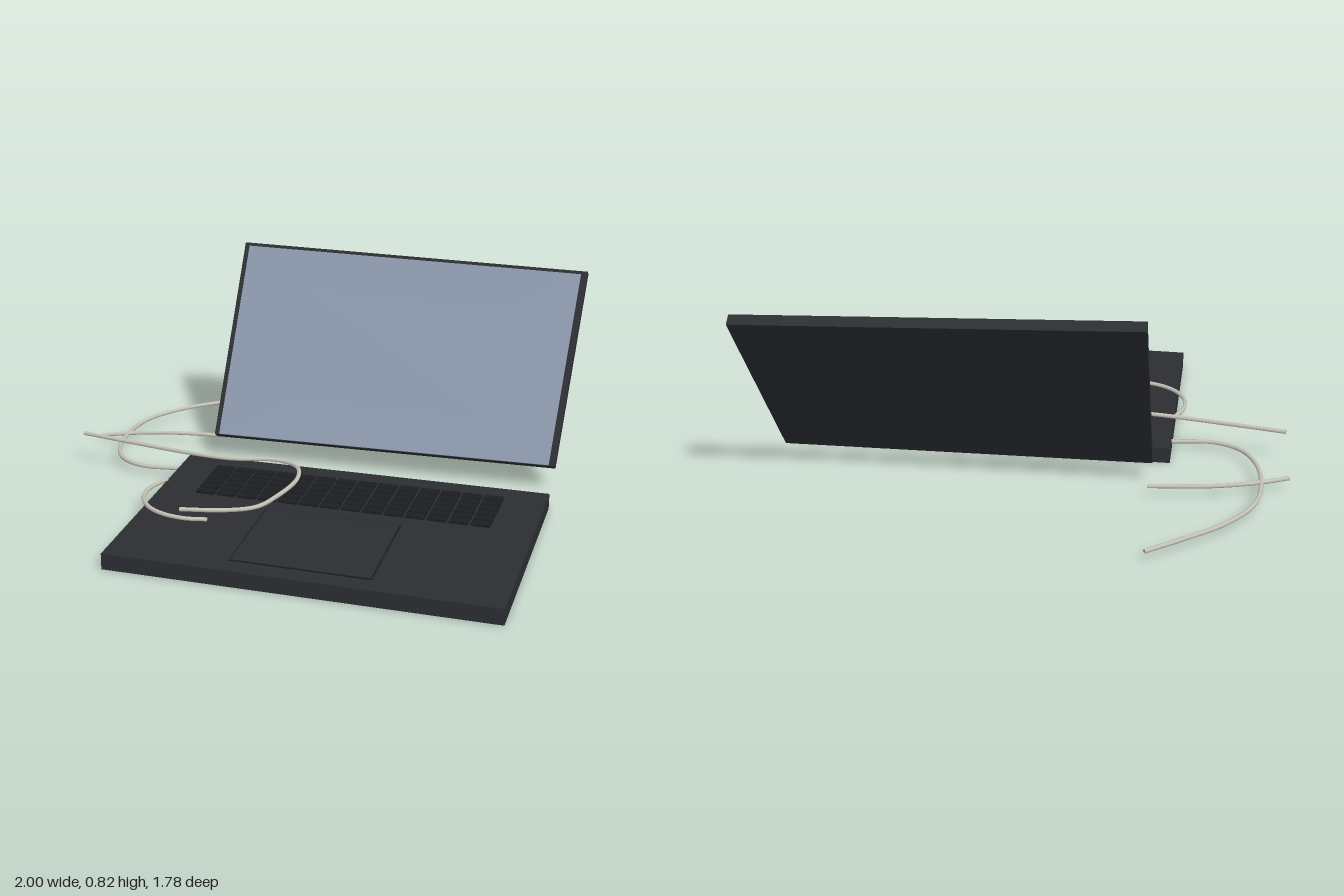
import * as THREE from 'three';
import { mergeGeometries } from 'three/addons/utils/BufferGeometryUtils.js';

const V = (x, y, z) => new THREE.Vector3(x, y, z);

// Point inside a quad; corners are far left, far right, near right, near left.
function patchPoint([fl, fr, nr, nl], u, v) {
  return fl.clone().lerp(fr, u).lerp(nl.clone().lerp(nr, u), v);
}

function subQuad(q, u0, u1, v0, v1) {
  return [[u0, v0], [u1, v0], [u1, v1], [u0, v1]].map(([u, v]) => patchPoint(q, u, v));
}

function quadNormal([fl, fr, , nl]) {
  return nl.clone().sub(fl).cross(fr.clone().sub(fl)).normalize();
}

// Quad moved along its normal.
function lift(quad, d) {
  const n = quadNormal(quad);
  return quad.map((p) => p.clone().addScaledVector(n, d));
}

// Flat-sided slab: the quad is its outer face, thickened behind by t.
function slab(quad, t) {
  const back = lift(quad, -t);
  const pos = [];
  const face = (a, b, c, d) => [a, b, c, a, c, d].forEach((p) => pos.push(p.x, p.y, p.z));
  face(quad[3], quad[2], quad[1], quad[0]);
  face(back[0], back[1], back[2], back[3]);
  for (let i = 0; i < 4; i++) {
    const j = (i + 1) % 4;
    face(quad[i], quad[j], back[j], back[i]);
  }
  const g = new THREE.BufferGeometry();
  g.setAttribute('position', new THREE.Float32BufferAttribute(pos, 3));
  g.computeVertexNormals();
  return g;
}

// Points lying flat at height y, from [x, z] pairs.
const flat = (y, pts) => pts.map(([x, z]) => V(x, y, z));

// Round cable whose end rings are folded in to close it with flat caps.
function cableGeometry(points, r) {
  const segs = 80, sides = 8;
  const curve = new THREE.CatmullRomCurve3(points);
  const g = new THREE.TubeGeometry(curve, segs, r, sides);
  const pos = g.attributes.position;
  [[0, 1], [segs, segs - 1]].forEach(([end, next]) => {
    const tip = curve.getPointAt(end / segs);
    const shift = tip.clone().sub(curve.getPointAt(next / segs));
    for (let k = 0; k <= sides; k++) {
      const e = end * (sides + 1) + k, n = next * (sides + 1) + k;
      pos.setXYZ(e, tip.x, tip.y, tip.z);
      pos.setXYZ(n, pos.getX(n) + shift.x, pos.getY(n) + shift.y, pos.getZ(n) + shift.z);
    }
  });
  return g;
}

export function createModel() {
  const model = new THREE.Group();
  model.name = 'laptop';
  const mat = (color) => new THREE.MeshStandardMaterial({ color, side: THREE.DoubleSide });
  const body = mat(0x2c2e32);
  const dark = mat(0x1c1e22);
  const glass = mat(0x8a96aa);
  const wire = mat(0xc4c1b6);

  const add = (name, geometry, material) => {
    const m = new THREE.Mesh(geometry, material);
    m.name = name;
    model.add(m);
  };

  // Base slab
  add('base', slab(flat(0.062, [[-0.53, -0.1], [0.952, -0.172], [1, 0.84], [-0.468, 0.888]]), 0.062), body);

  // Keyboard grid, slightly skewed with the base
  const keyArea = flat(0.071, [[-0.378, -0.015], [0.8, -0.07], [0.81, 0.222], [-0.36, 0.27]]);
  const cols = 14, rows = 6, keys = [];
  for (let r = 0; r < rows; r++) {
    for (let c = 0; c < cols; c++) {
      keys.push(slab(subQuad(keyArea,
        (c + 0.06) / cols, (c + 0.94) / cols, (r + 0.09) / rows, (r + 0.91) / rows), 0.011));
    }
  }
  add('keys', mergeGeometries(keys), dark);

  // Touchpad with a thin dark rim
  const pad = flat(0.066, [[-0.043, 0.333], [0.488, 0.312], [0.515, 0.777], [-0.012, 0.793]]);
  add('touchpadRim', slab(pad, 0.006), dark);
  add('touchpad', slab(lift(subQuad(pad, 0.01, 0.99, 0.01, 0.99), 0.001), 0.004), body);

  // Tilted lid, with the display standing slightly proud of it
  const lid = [V(-0.505, 0.818, -0.698), V(0.947, 0.785, -0.827),
    V(0.938, 0.108, -0.345), V(-0.48, 0.106, -0.243)];
  add('lid', slab(lid, 0.045), body);
  add('display', slab(lift(subQuad(lid, 0.014, 0.982, 0.018, 0.998), 0.006), 0.008), glass);

  // Loose cables, each lying level at its own height
  const cable = (name, y, pts) => add(name, cableGeometry(flat(y, pts), 0.0085), wire);
  cable('upperCable', 0.133, [[-0.968, -0.012], [-0.716, 0.022], [-0.45, 0.052], [-0.29, 0.052],
    [-0.117, 0.008], [-0.02, 0.042], [0.027, 0.16], [0.01, 0.35], [-0.03, 0.47],
    [-0.13, 0.535], [-0.29, 0.58]]);
  cable('backCable', 0.042, [[-0.537, -0.89], [-0.66, -0.775], [-0.79, -0.64], [-0.88, -0.48],
    [-0.898, -0.32], [-0.865, -0.13], [-0.795, -0.015], [-0.69, 0.032], [-0.51, 0.008]]);
  cable('sideCable', 0.067, [[-0.513, 0.187], [-0.54, 0.29], [-0.525, 0.385], [-0.47, 0.46],
    [-0.395, 0.502], [-0.3, 0.515], [-0.215, 0.497]]);
  cable('shortCable', 0.042, [[-0.997, -0.226], [-0.88, -0.29], [-0.72, -0.348], [-0.48, -0.395]]);

  return model;
}
